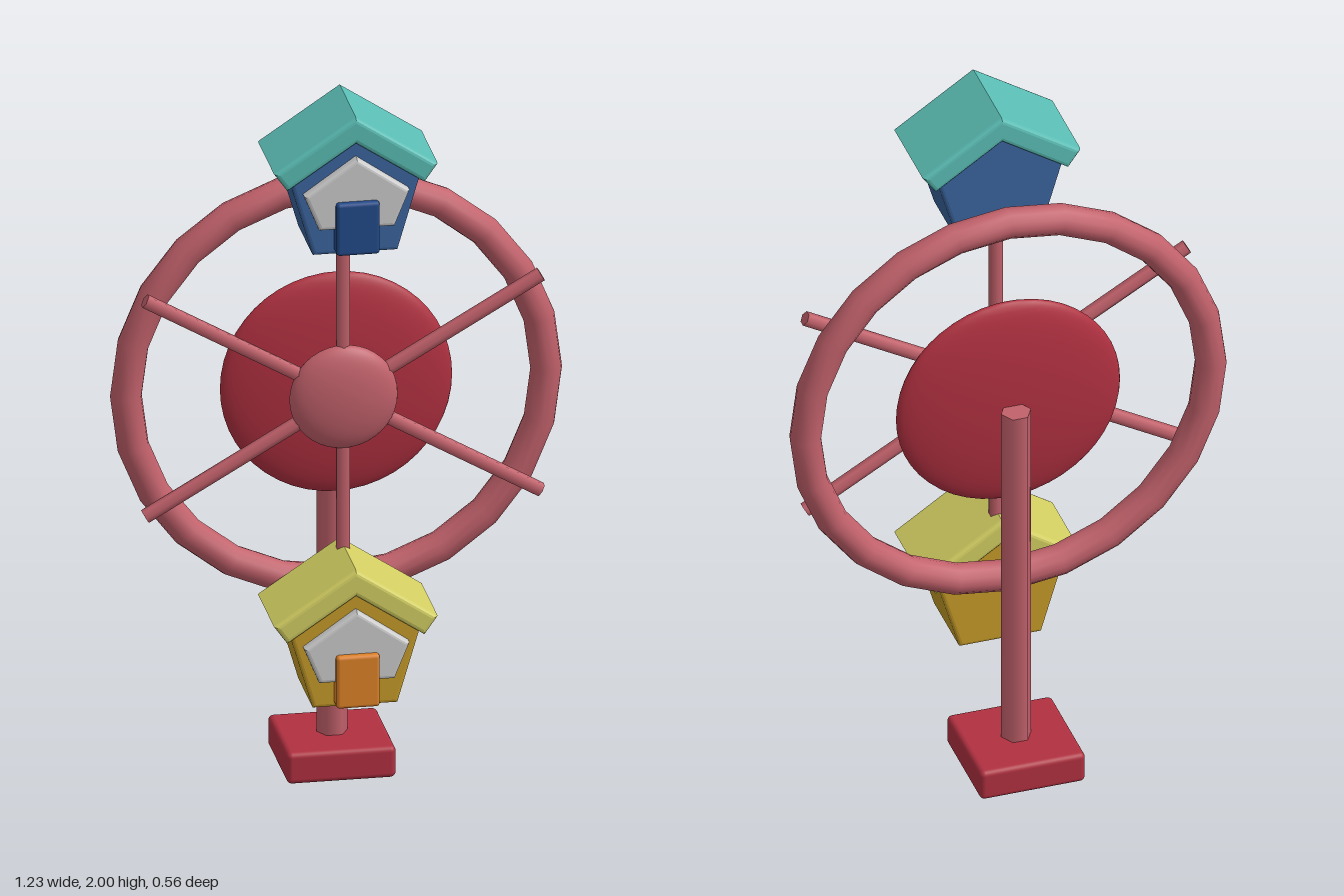
import * as THREE from 'three';
import { RoundedBoxGeometry } from 'three/addons/geometries/RoundedBoxGeometry.js';

const HUB_Y = 1.125;
const mat = (color) => new THREE.MeshStandardMaterial({ color });
const pink = mat(0xc2616b), red = mat(0xb03040), grey = mat(0xcccccc);

function add(parent, name, geometry, material, x = 0, y = 0, z = 0) {
  const mesh = new THREE.Mesh(geometry, material);
  mesh.name = name;
  mesh.position.set(x, y, z);
  parent.add(mesh);
  return mesh;
}

// Softly bevelled slab from a front outline, spanning z0 to z1
function slab(points, z0, z1, bevel = 0.01) {
  const shape = new THREE.Shape(points.map(([x, y]) => new THREE.Vector2(x, y)));
  const geometry = new THREE.ExtrudeGeometry(shape, {
    depth: z1 - z0 - 2 * bevel, bevelEnabled: true, bevelThickness: bevel,
    bevelSize: bevel, bevelOffset: -bevel, bevelSegments: 3,
  });
  return geometry.translate(0, 0, z0 + bevel);
}

// Symmetric house outline: floor, shoulders, apex
const pentagon = (floorX, floorY, sideX, sideY, apexY) =>
  [[-floorX, floorY], [floorX, floorY], [sideX, sideY], [0, apexY], [-sideX, sideY]];

// House-shaped cabin with its floor at y = 0
function cabin(name, roof, walls, door) {
  const group = new THREE.Group();
  group.name = name;
  add(group, 'walls', slab(pentagon(0.115, 0, 0.178, 0.215, 0.335), 0.005, 0.235), mat(walls));
  add(group, 'roof', slab([
    [0, 0.392], [-0.222, 0.244], [-0.186, 0.193], [0, 0.317], [0.186, 0.193], [0.222, 0.244],
  ], -0.01, 0.248, 0.012), mat(roof));
  add(group, 'facePanel', slab(pentagon(0.102, 0.08, 0.143, 0.18, 0.28), 0.2, 0.262), grey);
  add(group, 'door', new RoundedBoxGeometry(0.118, 0.15, 0.08, 2, 0.01), mat(door), 0, 0.085, 0.24);
  return group;
}

export function createModel() {
  const model = new THREE.Group();
  model.name = 'ferrisWheel';

  // Stand
  add(model, 'base', new RoundedBoxGeometry(0.296, 0.09, 0.296, 3, 0.015), red, 0.003, 0.045, -0.132);
  const post = new THREE.CylinderGeometry(0.042, 0.042, 1.09, 6).rotateY(Math.PI / 6);
  add(model, 'post', post, pink, 0.003, 0.59, -0.132);

  // Wheel rim, backing disc and hub
  add(model, 'rim', new THREE.TorusGeometry(0.57, 0.043, 12, 24), pink, 0, HUB_Y, -0.055);
  add(model, 'backDisc', new THREE.SphereGeometry(0.315, 40, 24), red, 0, HUB_Y, -0.055).scale.z = 0.16;
  add(model, 'hub', new THREE.SphereGeometry(0.147, 32, 20), pink, 0, HUB_Y, 0.057).scale.z = 0.31;

  // Six spokes, as three bars through the hub
  for (let i = 0; i < 3; i++) {
    const bar = add(model, 'spoke', new THREE.CylinderGeometry(0.02, 0.02, 1.24, 6), pink, 0, HUB_Y, 0.048);
    bar.rotation.z = (i * Math.PI) / 3;
  }

  // Cabins at the top and bottom of the wheel
  const upper = cabin('upperCabin', 0x5abdb4, 0x3a639c, 0x224a8a);
  upper.position.y = 1.608;
  const lower = cabin('lowerCabin', 0xd2ce62, 0xc49a28, 0xde8228);
  lower.position.y = 0.306;
  model.add(upper, lower);
  return model;
}
